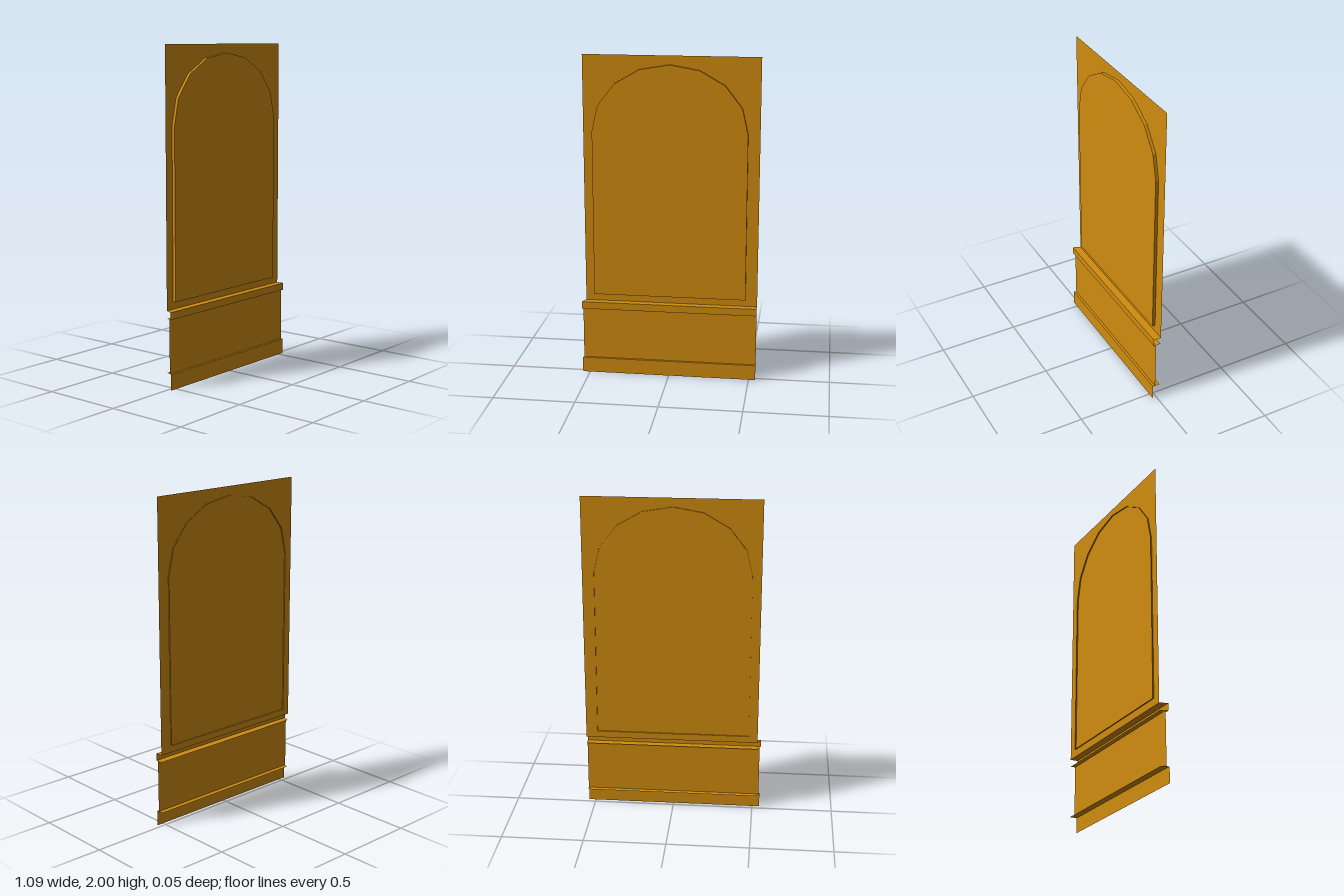
import * as THREE from 'three';

const material = new THREE.MeshStandardMaterial({ color: 0xd08c0f, side: THREE.DoubleSide });

// The right end is cut square, the left end is mitred along this line
const RIGHT = 0.542;
const mitre = (z) => -0.525 - (z + 0.022) * 0.43;

// Open strip running across the wall, following a [y, z] profile
function strip(name, profile) {
  const positions = [];
  for (let i = 0; i < profile.length - 1; i++) {
    const [y0, z0] = profile[i];
    const [y1, z1] = profile[i + 1];
    const a = [mitre(z0), y0, z0], b = [RIGHT, y0, z0];
    const c = [RIGHT, y1, z1], d = [mitre(z1), y1, z1];
    positions.push(...a, ...b, ...c, ...a, ...c, ...d);
  }
  const geometry = new THREE.BufferGeometry();
  geometry.setAttribute('position', new THREE.Float32BufferAttribute(positions, 3));
  geometry.computeVertexNormals();
  const mesh = new THREE.Mesh(geometry, material);
  mesh.name = name;
  return mesh;
}

// Arched panel: a front face with a rim that passes through the wall
function archedPanel() {
  const front = -0.003, back = -0.03;
  const outline = [new THREE.Vector2(-0.47, 0.51), new THREE.Vector2(0.47, 0.51)];
  for (let i = 0; i <= 8; i++) {
    const t = (i / 8) * Math.PI;
    outline.push(new THREE.Vector2(0.47 * Math.cos(t), 1.54 + 0.407 * Math.sin(t)));
  }
  const group = new THREE.Group();
  group.name = 'archedPanel';

  const face = new THREE.Mesh(new THREE.ShapeGeometry(new THREE.Shape(outline)), material);
  face.position.z = front;
  face.name = 'archFace';

  const positions = [];
  outline.forEach((p, i) => {
    const q = outline[(i + 1) % outline.length];
    positions.push(p.x, p.y, back, q.x, q.y, back, q.x, q.y, front);
    positions.push(p.x, p.y, back, q.x, q.y, front, p.x, p.y, front);
  });
  const rimGeometry = new THREE.BufferGeometry();
  rimGeometry.setAttribute('position', new THREE.Float32BufferAttribute(positions, 3));
  rimGeometry.computeVertexNormals();
  const rim = new THREE.Mesh(rimGeometry, material);
  rim.name = 'archRim';

  group.add(face, rim);
  return group;
}

export function createModel() {
  const model = new THREE.Group();
  model.name = 'wallPanel';
  model.add(
    // Skirting board with its top ledge reaching behind the lower panel
    strip('skirting', [[0, 0.025], [0.095, 0.025], [0.095, -0.02]]),
    strip('lowerPanel', [[0.095, 0.01], [0.42, 0.01]]),
    // Rail: underside, front and top ledge
    strip('rail', [[0.42, -0.02], [0.42, 0.025], [0.465, 0.025], [0.465, -0.022]]),
    strip('upperWall', [[0.465, -0.022], [2, -0.022]]),
    archedPanel(),
  );
  return model;
}
